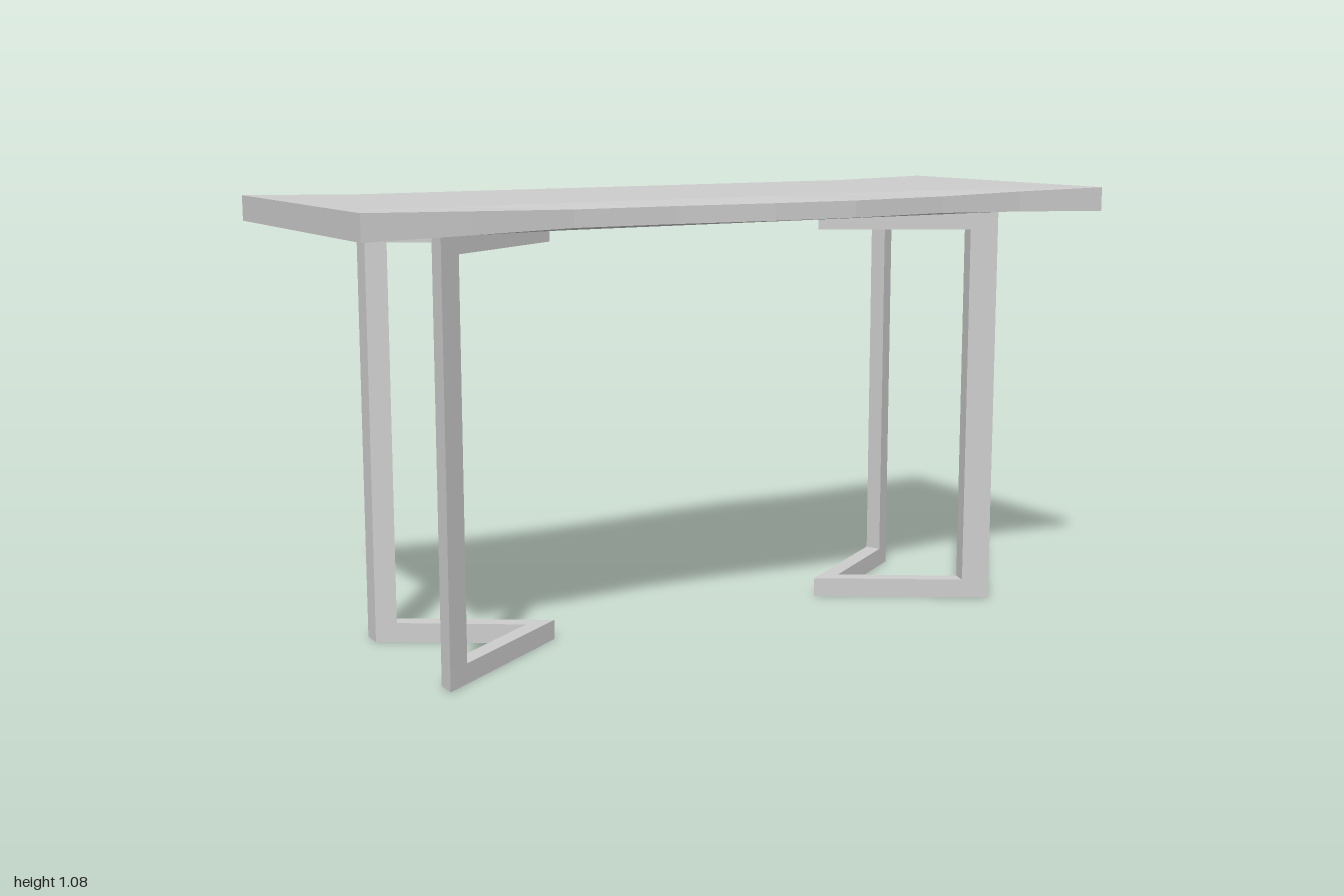
import * as THREE from 'three';

const material = new THREE.MeshStandardMaterial({ color: 0xcccccc, flatShading: true });

// Extrudes a floor-plan outline of [x, z] points from y0 up to y1
function slab(name, plan, y0, y1) {
  const shape = new THREE.Shape(plan.map(([x, z]) => new THREE.Vector2(x, z)));
  const geo = new THREE.ExtrudeGeometry(shape, { depth: y1 - y0, bevelEnabled: false });
  geo.rotateX(Math.PI / 2).translate(0, y1, 0);
  const mesh = new THREE.Mesh(geo, material);
  mesh.name = name;
  return mesh;
}

// Wavy-edged board, lofted along x; long edges are slightly thinned away from the ends
function tabletop() {
  const bottom = 1.02, top = 1.08, crown = 0.28;
  // [x, back edge z, front edge z]
  const stations = [
    [-1, -0.386, 0.38], [-0.75, -0.355, 0.368], [-0.5, -0.353, 0.352],
    [-0.25, -0.364, 0.36], [0, -0.385, 0.385], [0.22, -0.394, 0.391],
    [0.5, -0.375, 0.362], [0.75, -0.379, 0.356], [1, -0.387, 0.38],
  ];
  const n = 8, pos = [], idx = [];
  for (const [x, b, f] of stations) {
    const d = 0.01 * Math.min(1, (1 - Math.abs(x)) / 0.5);
    const loop = [
      [bottom + d, f], [top - d, f], [top, crown], [top, -crown],
      [top - d, b], [bottom + d, b], [bottom, -crown], [bottom, crown],
    ];
    for (const [y, z] of loop) pos.push(x, y, z);
  }
  const last = (stations.length - 1) * n;
  for (let i = 0; i < last; i += n) {
    for (let j = 0; j < n; j++) {
      const k = (j + 1) % n;
      idx.push(i + j, i + n + j, i + k, i + k, i + n + j, i + n + k);
    }
  }
  for (let k = 1; k < n - 1; k++) {
    idx.push(0, k, k + 1, last, last + k + 1, last + k);
  }
  const indexed = new THREE.BufferGeometry();
  indexed.setAttribute('position', new THREE.Float32BufferAttribute(pos, 3));
  indexed.setIndex(idx);
  const geo = indexed.toNonIndexed();
  geo.computeVertexNormals();
  const mesh = new THREE.Mesh(geo, material);
  mesh.name = 'tabletop';
  return mesh;
}

// V-shaped leg frame: two V bars joined by a post at each open end
function legFrame(name) {
  const apex = 0.385, innerApex = 0.462, end = 0.77, height = 1.02, bar = 0.048;
  const slope = 0.25 / (end - apex);
  const vee = [
    [apex, 0], [end, -0.25], [end, -0.2], [innerApex, 0], [end, 0.2], [end, 0.25],
  ];
  const outerX = 0.712, innerX = 0.726;
  const group = new THREE.Group();
  group.name = name;
  group.add(slab('footBar', vee, 0, bar), slab('topBar', vee, height - bar, height));
  for (const s of [1, -1]) {
    const post = [
      [end, s * 0.25], [end, s * 0.2],
      [innerX, s * (innerX - innerApex) * slope],
      [outerX, s * (outerX - apex) * slope],
    ];
    group.add(slab(s > 0 ? 'frontPost' : 'backPost', post, bar, height - bar));
  }
  return group;
}

export function createModel() {
  const model = new THREE.Group();
  model.name = 'table';
  const left = legFrame('leftLeg');
  const right = legFrame('rightLeg');
  right.rotation.y = Math.PI;
  model.add(tabletop(), left, right);
  return model;
}
